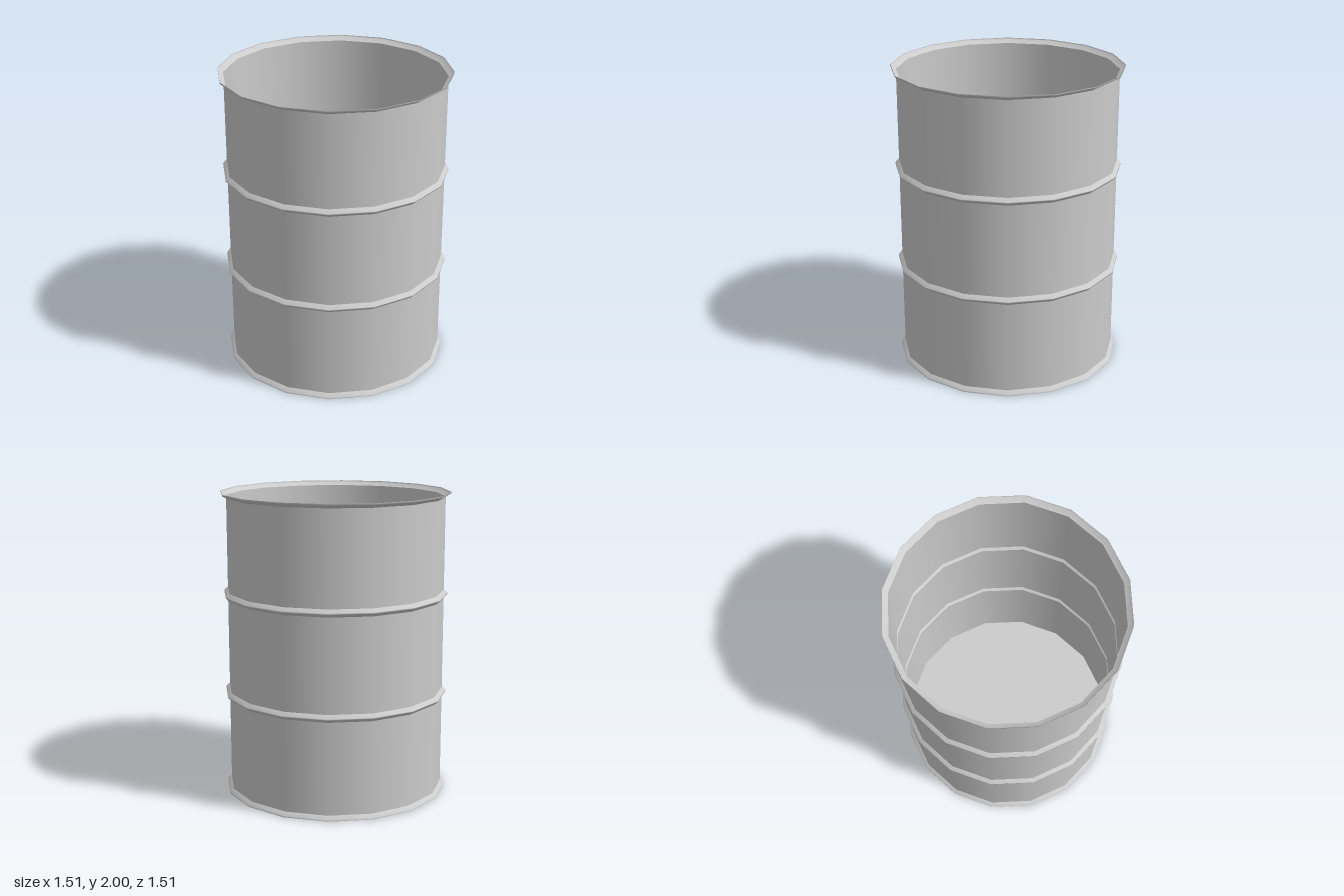
import * as THREE from 'three';

const SIDES = 16;
const WALL = 0.72;
const BULGE = 0.745;

export function createModel() {
  const drum = new THREE.Group();
  drum.name = 'openDrum';
  const material = new THREE.MeshStandardMaterial({ color: 0xcccccc, side: THREE.DoubleSide });

  // Thin sheet-metal ring from a profile of [radius, height], bottom to top
  const addRing = (name, profile) => {
    const points = profile.map(([r, y]) => new THREE.Vector2(r, y));
    const mesh = new THREE.Mesh(new THREE.LatheGeometry(points, SIDES), material);
    mesh.name = name;
    drum.add(mesh);
  };

  // Flat floor, facing down
  const floor = new THREE.Mesh(new THREE.CircleGeometry(BULGE, SIDES).rotateX(Math.PI / 2), material);
  floor.name = 'floor';
  drum.add(floor);

  // Flared foot and top lip
  addRing('footRim', [[BULGE, 0], [BULGE, 0.01], [WALL, 0.03]]);
  addRing('topRim', [[WALL, 1.97], [0.755, 1.99], [0.755, 2]]);

  // Pressed hoops, hollow on the inside
  const hoops = [['lowerHoop', 0.667], ['upperHoop', 1.333]];
  for (const [name, y] of hoops) {
    addRing(name, [[WALL, y - 0.025], [BULGE, y - 0.004], [BULGE, y + 0.004], [WALL, y + 0.025]]);
  }

  // Straight wall bands between the rims and hoops
  const walls = [
    ['lowerWall', 0.03, 0.642],
    ['middleWall', 0.692, 1.308],
    ['upperWall', 1.358, 1.97],
  ];
  for (const [name, y0, y1] of walls) addRing(name, [[WALL, y0], [WALL, y1]]);

  return drum;
}
